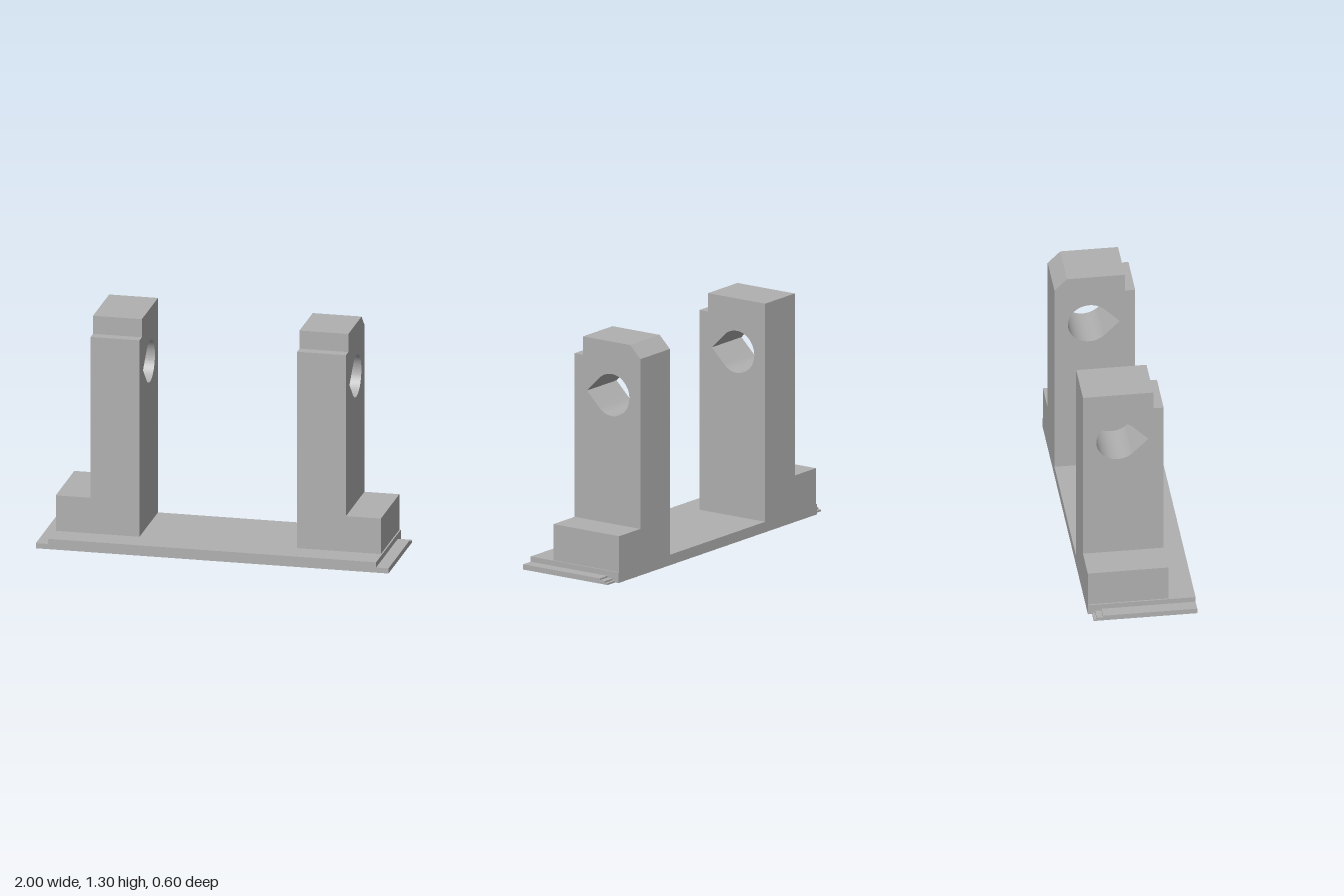
import * as THREE from 'three';
import { toCreasedNormals } from 'three/addons/utils/BufferGeometryUtils.js';

const BACK = 0.3; // back face lies at z = -BACK

export function createModel() {
  const grey = new THREE.MeshStandardMaterial({ color: 0xb0b0b0 });
  grey.name = 'grey';
  const model = new THREE.Group();
  model.name = 'doublePostBracket';

  function add(name, geometry) {
    const mesh = new THREE.Mesh(geometry, grey);
    mesh.name = name;
    model.add(mesh);
  }

  function addBox(name, x0, x1, y0, y1, z0, z1) {
    const g = new THREE.BoxGeometry(x1 - x0, y1 - y0, z1 - z0);
    g.translate((x0 + x1) / 2, (y0 + y1) / 2, (z0 + z1) / 2);
    add(name, g);
  }

  // Extrudes a side profile of [z, y] points along x from x0 to x1
  function addProfile(name, points, x0, x1, hole) {
    const shape = new THREE.Shape(points.map(([z, y]) => new THREE.Vector2(-z, y)));
    if (hole) shape.holes.push(hole);
    const g = new THREE.ExtrudeGeometry(shape, { depth: x1 - x0, bevelEnabled: false, curveSegments: 48 });
    g.rotateY(Math.PI / 2);
    g.translate(x0, 0, 0);
    add(name, toCreasedNormals(g, 0.5));
  }

  // Teardrop hole: round at the back, 45 degree point towards the front
  function teardrop() {
    const r = 0.12, cx = 0.105, cy = 1.0;
    const path = new THREE.Path();
    path.moveTo(cx - r * Math.SQRT2, cy);
    path.lineTo(cx - r * Math.SQRT1_2, cy - r * Math.SQRT1_2);
    path.absarc(cx, cy, r, -Math.PI * 0.75, Math.PI * 0.75, false);
    path.closePath();
    return path;
  }

  // Base plate
  addBox('basePlate', -0.93, 0.93, 0, 0.06, -BACK, 0.3);

  // Thin end lips, stepped down at the back
  const lip = [[0.3, 0], [0.3, 0.03], [-0.225, 0.03], [-0.225, 0.02], [-0.26, 0.02],
    [-0.26, 0.01], [-0.277, 0.01], [-0.277, 0]];

  for (const [side, s] of [['left', 1], ['right', -1]]) {
    const span = (a, b) => (s > 0 ? [a, b] : [-b, -a]);
    addProfile(side + 'Lip', lip, ...span(0.93, 1));

    // Post with front notch; only the left one has a chamfered back edge
    const top = s > 0 ? [[-0.23, 1.305], [-BACK, 1.235]] : [[-BACK, 1.305]];
    const post = [[0.15, 0.06], [0.15, 1.2], [0.092, 1.2], [0.092, 1.305], ...top, [-BACK, 0.06]];
    addProfile(side + 'Post', post, ...span(0.447, 0.724), teardrop());

    // Outer foot block
    addBox(side + 'Foot', ...span(0.724, 0.922), 0.06, 0.266, -BACK, 0.15);
  }

  return model;
}
